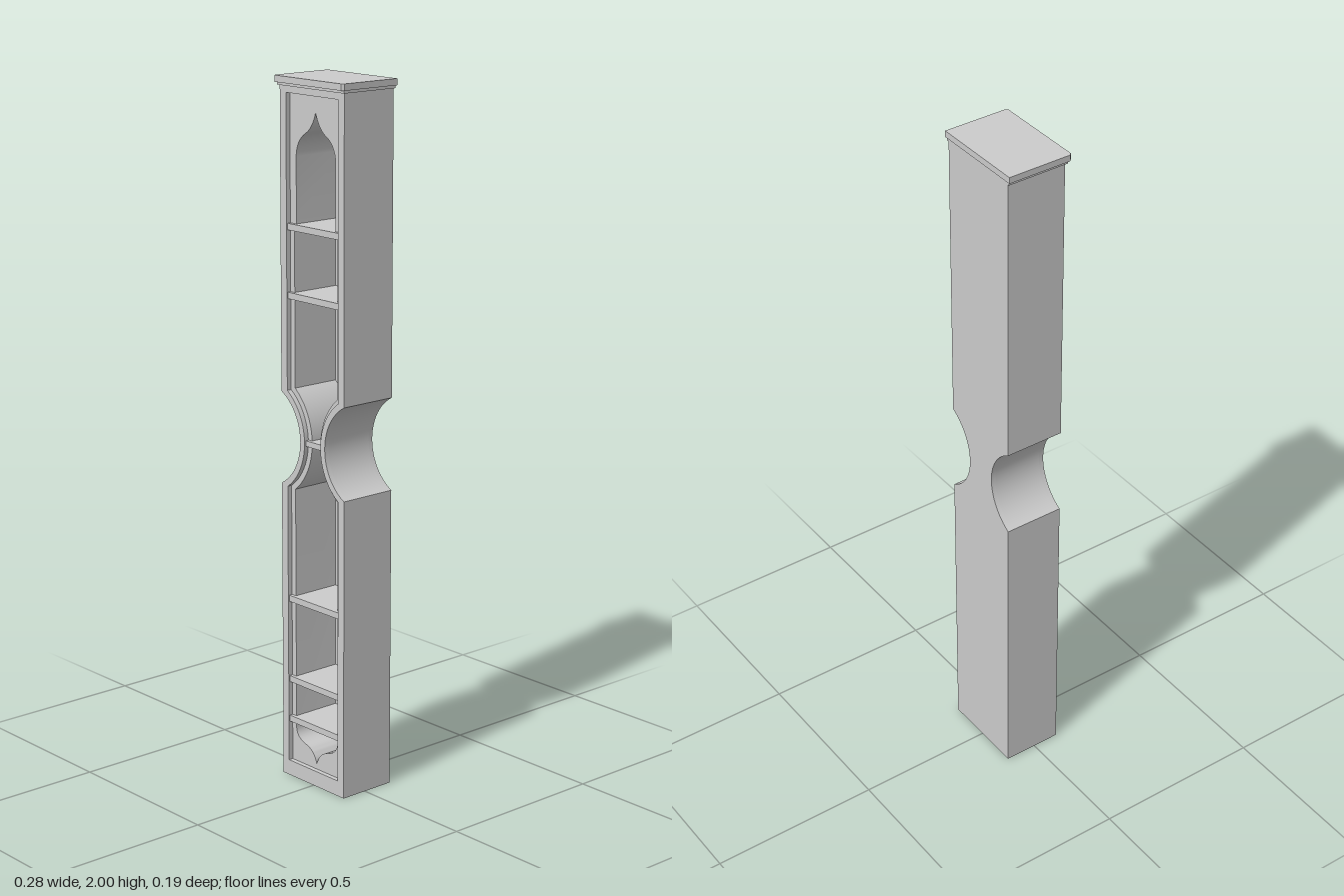
import * as THREE from 'three';
import { toCreasedNormals } from 'three/addons/utils/BufferGeometryUtils.js';

const material = new THREE.MeshStandardMaterial({ color: 0xcccccc });
const ARC_X = 0.2, ARC_Y = 0.998; // centre of the waist's side arcs

// right half, listed upward: straight side, waist arc of radius r, straight side
function waistSide(halfWidth, r, steps = 24) {
  const a = Math.acos((ARC_X - halfWidth) / r);
  const pts = [];
  for (let i = 0; i <= steps; i++) {
    const t = -a + (2 * a * i) / steps;
    pts.push(new THREE.Vector2(ARC_X - r * Math.cos(t), ARC_Y + r * Math.sin(t)));
  }
  return pts;
}

// close a right half with its mirror image
function mirrored(right, Type) {
  const left = right.filter(p => p.x > 1e-5).map(p => new THREE.Vector2(-p.x, p.y)).reverse();
  return new Type([...right, ...left]);
}

function outline(halfWidth, r, y0, y1, Type) {
  return mirrored([new THREE.Vector2(halfWidth, y0), ...waistSide(halfWidth, r),
    new THREE.Vector2(halfWidth, y1)], Type);
}

// opening with an ogee point at both ends
function ogeeOpening() {
  const v = (x, y) => new THREE.Vector2(x, y);
  const curve = (a, b, c) => new THREE.QuadraticBezierCurve(a, b, c).getPoints(8);
  const right = [
    ...curve(v(0, 0.06), v(0.01, 0.095), v(0.042, 0.105)),
    ...curve(v(0.042, 0.105), v(0.088, 0.115), v(0.088, 0.15)).slice(1),
    ...waistSide(0.088, 0.183),
    v(0.088, 1.59), v(0.08, 1.6),
    ...curve(v(0.08, 1.785), v(0.078, 1.83), v(0.042, 1.85)),
    ...curve(v(0.042, 1.85), v(0.012, 1.867), v(0, 1.91)).slice(1),
  ];
  return mirrored(right, THREE.Path);
}

function slab(name, hole, z0, z1) {
  const shape = outline(0.13, 0.149, 0, 1.98, THREE.Shape);
  if (hole) shape.holes.push(hole);
  const geo = new THREE.ExtrudeGeometry(shape, { depth: z1 - z0, bevelEnabled: false });
  const mesh = new THREE.Mesh(toCreasedNormals(geo, 0.5), material);
  mesh.name = name;
  mesh.position.z = z0;
  return mesh;
}

function box(name, w, h, z0, z1, y) {
  const mesh = new THREE.Mesh(new THREE.BoxGeometry(w, h, z1 - z0), material);
  mesh.name = name;
  mesh.position.set(0, y, (z0 + z1) / 2);
  return mesh;
}

// flat cap with chamfered front corners
function cap() {
  const w = 0.14, back = -0.097, front = 0.096, c = 0.006;
  const shape = new THREE.Shape([[-w, -front + c], [-w + c, -front], [w - c, -front],
    [w, -front + c], [w, -back], [-w, -back]].map(p => new THREE.Vector2(...p)));
  const geo = new THREE.ExtrudeGeometry(shape, { depth: 0.018, bevelEnabled: false });
  geo.rotateX(-Math.PI / 2);
  const mesh = new THREE.Mesh(geo, material);
  mesh.name = 'cap';
  mesh.position.y = 1.982;
  return mesh;
}

export function createModel() {
  const model = new THREE.Group();
  model.name = 'waistedBookcase';

  // cabinet: back, hollow carcass, raised front frame
  const body = new THREE.Group();
  body.name = 'cabinet';
  body.position.x = -0.002;
  body.add(
    slab('backPanel', null, -0.095, -0.082),
    slab('carcass', ogeeOpening(), -0.082, 0.066),
    slab('frontFrame', outline(0.105, 0.167, 0.045, 1.955, THREE.Path), 0.066, 0.08),
  );

  // shelves
  for (const y of [0.172, 0.292, 0.532, 1.402, 1.592]) {
    body.add(box('shelf', 0.208, 0.018, -0.085, 0.077, y));
  }
  body.add(box('waistShelf', 0.062, 0.016, -0.085, 0.077, 0.998));
  model.add(body);

  // cap and the moulding below it
  model.add(box('capMoulding', 0.27, 0.008, -0.095, 0.087, 1.978), cap());
  return model;
}
